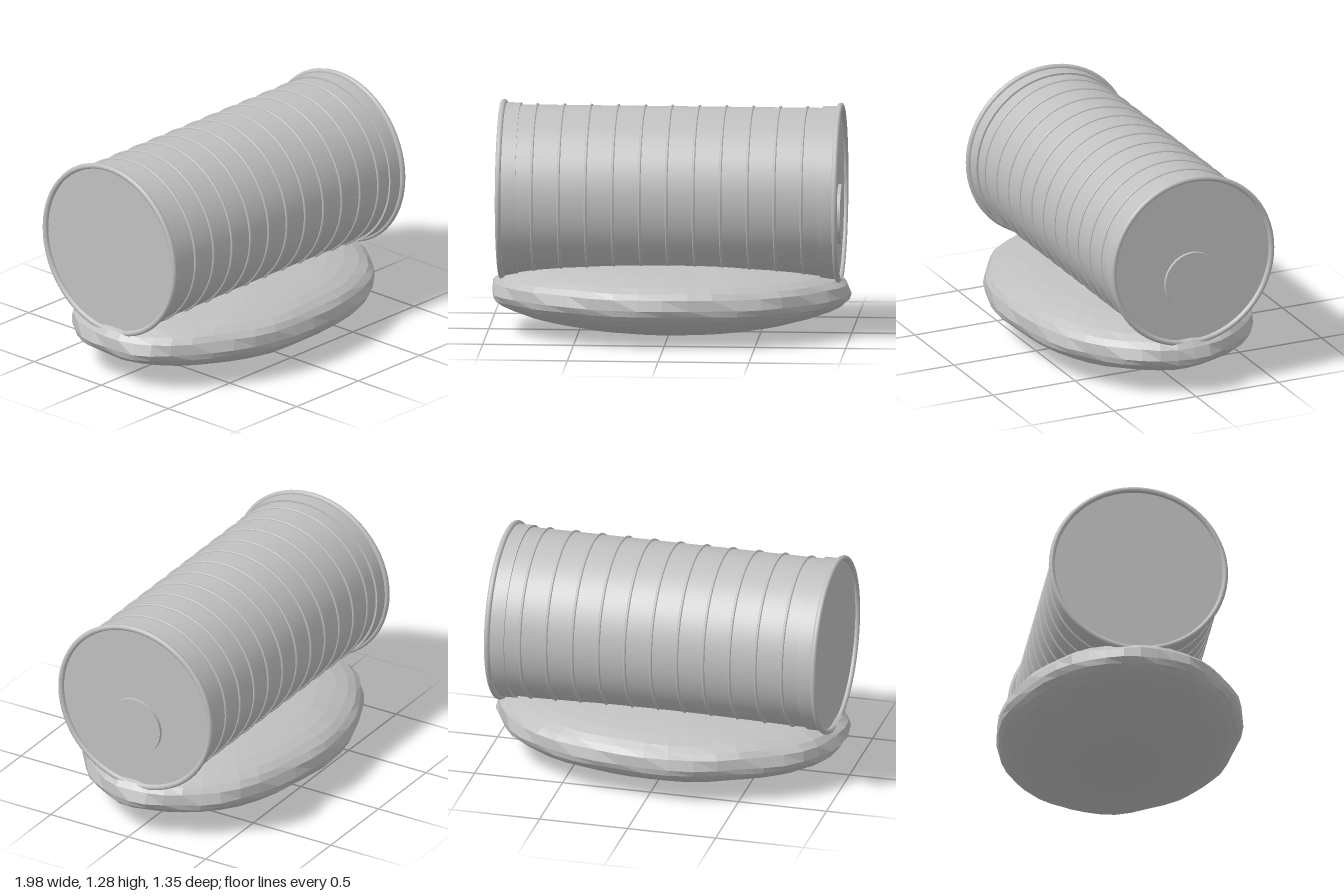
import * as THREE from 'three';
import { toCreasedNormals } from 'three/addons/utils/BufferGeometryUtils.js';

const SIDES = 64;

export function createModel() {
  const grey = new THREE.MeshStandardMaterial({ color: 0xc0c0c0 });
  grey.name = 'plain grey';
  const model = new THREE.Group();
  model.name = 'drumOnCushion';
  const add = (parent, name, geometry) => {
    const mesh = new THREE.Mesh(geometry, grey);
    mesh.name = name;
    parent.add(mesh);
    return mesh;
  };

  // Drum lying along x
  const drum = new THREE.Group();
  drum.name = 'drum';
  drum.position.set(0.007, 0.783, -0.008);
  model.add(drum);

  // Closed shell with a slightly wider collar at each end
  const half = [[0, 0.92], [0.478, 0.92], [0.478, 0.832], [0.467, 0.832]];
  const profile = [
    ...half.map(([r, y]) => new THREE.Vector2(r, -y)),
    ...half.slice().reverse().map(([r, y]) => new THREE.Vector2(r, y)),
  ];
  const shell = toCreasedNormals(new THREE.LatheGeometry(profile, SIDES), 0.6);
  shell.rotateZ(-Math.PI / 2);
  add(drum, 'shell', shell);

  // Rolled rims and body ribs
  const hoop = (name, radius, tube, x) => {
    const g = new THREE.TorusGeometry(radius, tube, 10, SIDES);
    g.rotateY(Math.PI / 2);
    add(drum, name, g).position.x = x;
  };
  for (const s of [-1, 1]) hoop('rim', 0.481, 0.016, s * 0.927);
  for (let i = -5; i <= 5; i++) hoop('rib', 0.468, 0.008, i * 0.1487);

  // Raised bung on the left end
  const bung = new THREE.CylinderGeometry(0.166, 0.166, 0.03, 40);
  bung.rotateZ(-Math.PI / 2);
  add(drum, 'bung', bung).position.set(0.923, -0.117, 0.003);

  // Faceted cushion: rounded lens, fuller above than below
  const radii = [0, 0.2, 0.38, 0.54, 0.68, 0.8, 0.89, 0.95, 0.985];
  const lower = radii.map((r) => new THREE.Vector2(r, 0.22 - 0.216 * (1 - r * r) ** 0.58));
  const upper = radii.map((r) => new THREE.Vector2(r, 0.22 + 0.212 * (1 - r * r) ** 0.34)).reverse();
  const lens = new THREE.LatheGeometry([...lower, new THREE.Vector2(1, 0.225), ...upper], 44);
  const p = lens.attributes.position;
  for (let i = 0; i < p.count; i++) {
    const x = p.getX(i), y = p.getY(i), z = p.getZ(i);
    const a = Math.atan2(z, x);
    // Gentle lumps around the edge, continuous across the seam
    const k = 0.99 + 0.008 * Math.sin(7 * a + 1) + 0.007 * Math.sin(11 * a + 40 * y);
    p.setXYZ(i, x * k, y + 0.003 * Math.sin(9 * x + 4) * Math.cos(11 * z) * Math.min(1, y * 8), z * k * 0.68);
  }
  const cushion = lens.toNonIndexed();
  cushion.computeVertexNormals();
  add(model, 'cushion', cushion);

  return model;
}
